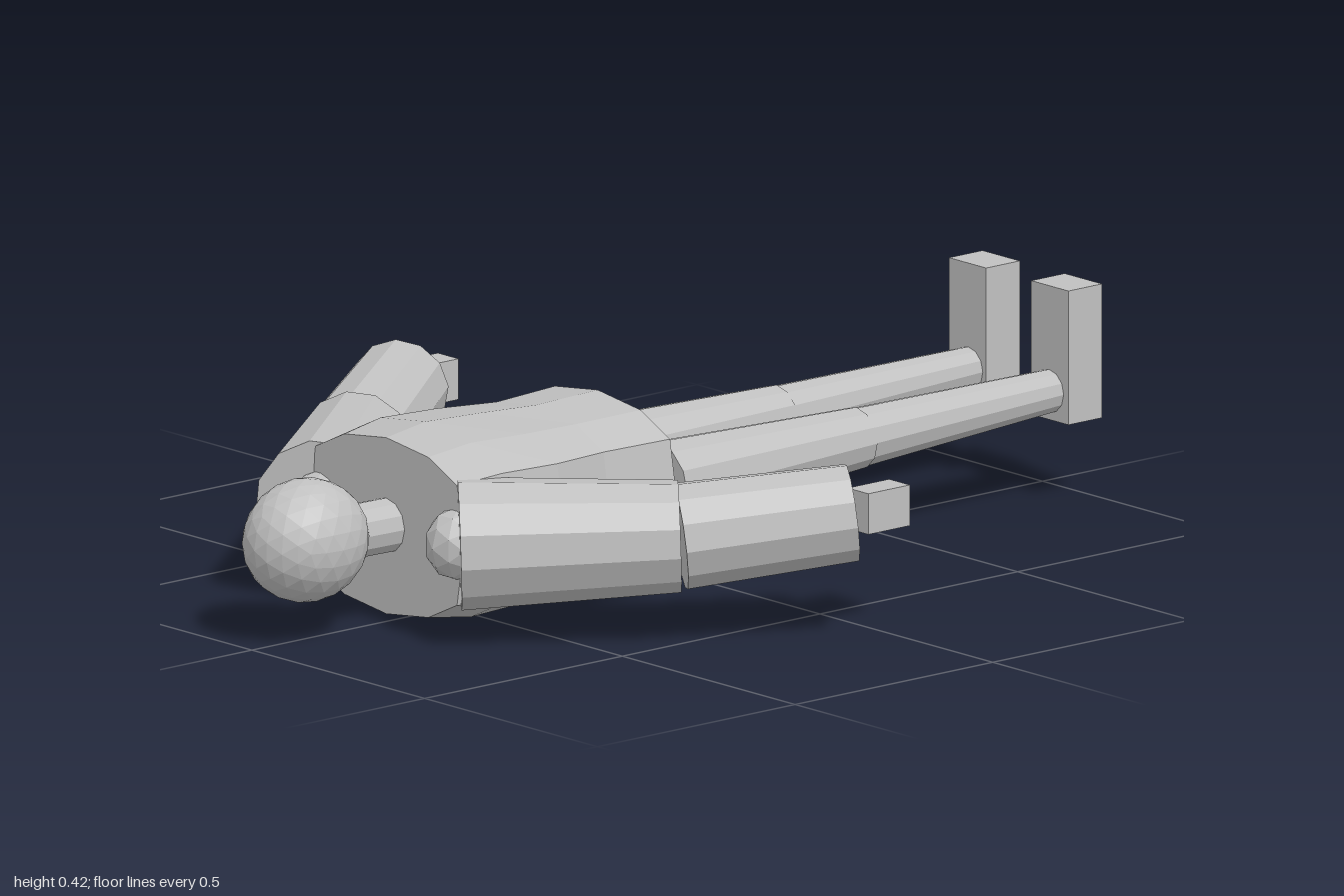
import * as THREE from 'three';

const grey = new THREE.MeshStandardMaterial({ color: 0xc0c0c0, flatShading: true });
grey.name = 'plain grey';

export function createModel() {
  const model = new THREE.Group();
  model.name = 'lyingMannequin';

  const add = (name, geometry, x = 0, y = 0, z = 0) => {
    const mesh = new THREE.Mesh(geometry, grey);
    mesh.name = name;
    mesh.position.set(x, y, z);
    model.add(mesh);
    return mesh;
  };
  // Tapered limb between two points
  const limb = (name, a, b, ra, rb, sides = 12) => {
    const from = new THREE.Vector3(...a), to = new THREE.Vector3(...b);
    const dir = to.clone().sub(from);
    const mesh = add(name, new THREE.CylinderGeometry(rb, ra, dir.length(), sides));
    mesh.position.copy(from).add(to).multiplyScalar(0.5);
    mesh.quaternion.setFromUnitVectors(new THREE.Vector3(0, 1, 0), dir.normalize());
    return mesh;
  };
  const ball = (name, detail, radii, x, y, z) =>
    add(name, new THREE.IcosahedronGeometry(1, detail).scale(...radii), x, y, z);

  // Torso: rounded cross-section lofted along z
  const ring = [[1, 0], [0.91, 0.68], [0.54, 0.91], [0, 1], [-0.54, 0.91], [-0.91, 0.68],
    [-1, 0], [-0.91, -0.68], [-0.54, -0.91], [0, -1], [0.54, -0.91], [0.91, -0.68]];
  const sections = [ // z, half width, half height
    [0.125, 0.23, 0.178], [0.28, 0.213, 0.174], [0.42, 0.242, 0.182],
    [0.56, 0.242, 0.188], [0.66, 0.225, 0.173]];
  const n = ring.length, points = [], faces = [];
  for (const [z, w, h] of sections) for (const [x, y] of ring) points.push(x * w, y * h, z);
  for (let s = 0; s < sections.length - 1; s++) {
    for (let i = 0; i < n; i++) {
      const a = s * n + i, b = s * n + (i + 1) % n;
      faces.push(a, b, b + n, a, b + n, a + n);
    }
  }
  const last = (sections.length - 1) * n;
  for (let i = 1; i < n - 1; i++) faces.push(0, i + 1, i, last, last + i, last + i + 1);
  const torso = new THREE.BufferGeometry();
  torso.setAttribute('position', new THREE.Float32BufferAttribute(points, 3));
  torso.setIndex(faces);
  torso.computeVertexNormals();
  add('torso', torso, 0, 0.194, 0);

  // Head, neck and pelvis
  ball('head', 3, [0.11, 0.12, 0.13], 0, 0.2, 0.864);
  limb('neck', [0, 0.195, 0.62], [0, 0.197, 0.78], 0.053, 0.053);
  ball('pelvis', 1, [0.165, 0.115, 0.16], 0, 0.196, 0.13);

  for (const [side, s] of [['left', 1], ['right', -1]]) {
    // Arms
    const shoulder = [0.2 * s, 0.195, 0.65], elbow = [0.468 * s, 0.207, 0.327];
    const wrist = [0.653 * s, 0.243, 0.053];
    ball(side + 'Shoulder', 1, [0.065, 0.072, 0.068], 0.197 * s, 0.194, 0.648);
    limb(side + 'UpperArm', shoulder, elbow, 0.128, 0.108);
    limb(side + 'Forearm', elbow, wrist, 0.104, 0.095);
    add(side + 'Hand', new THREE.BoxGeometry(0.06, 0.08, 0.105), 0.653 * s, 0.243, -0.015);
    // Legs
    const hip = [0.112 * s, 0.197, 0.07], knee = [0.115 * s, 0.208, -0.43];
    limb(side + 'Thigh', hip, knee, 0.085, 0.06);
    limb(side + 'Shin', knee, [0.117 * s, 0.22, -0.916], 0.058, 0.042);
    add(side + 'Foot', new THREE.BoxGeometry(0.108, 0.263, 0.085), 0.119 * s, 0.295, -0.957);
  }
  return model;
}
